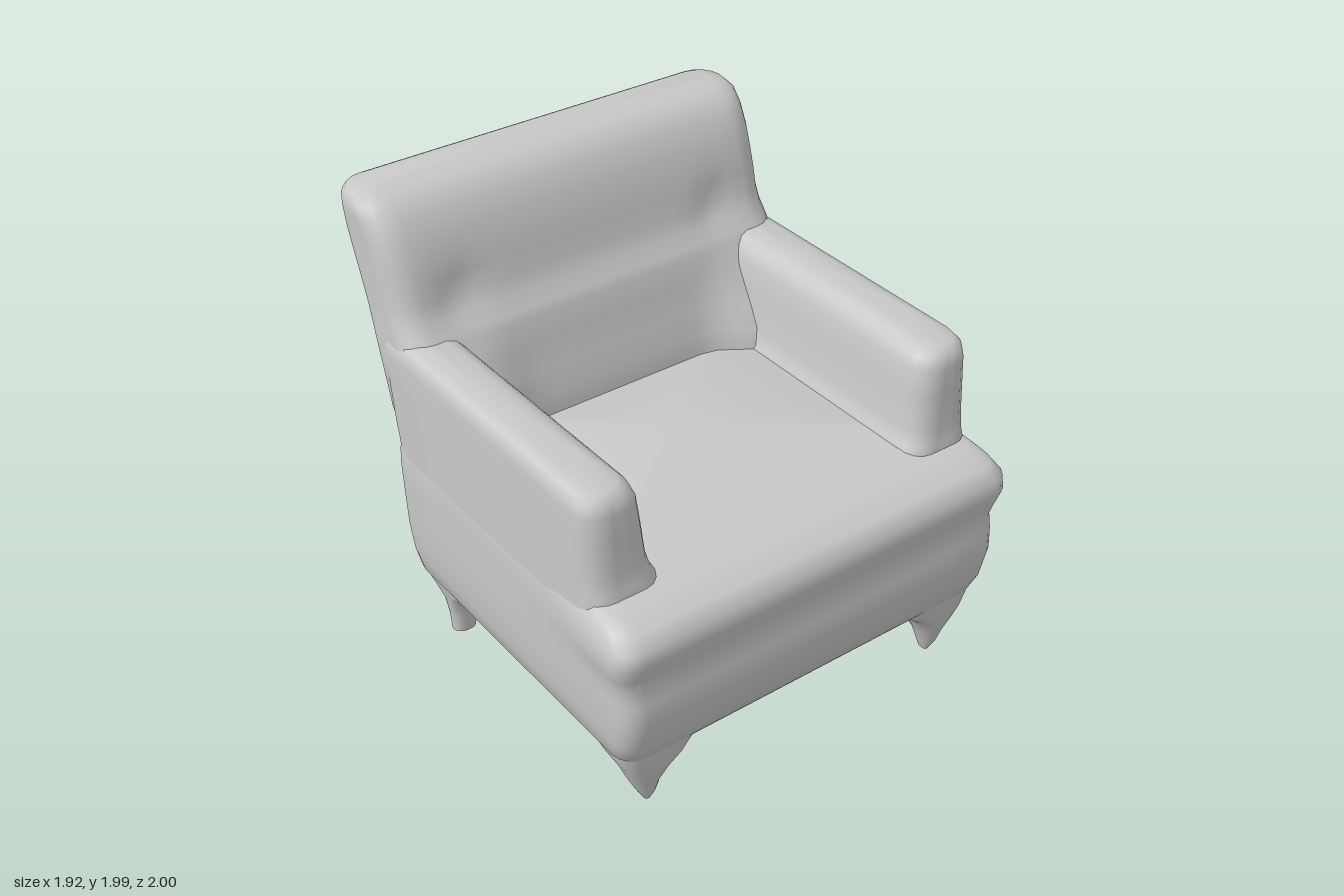
import * as THREE from 'three';
import { toCreasedNormals } from 'three/addons/utils/BufferGeometryUtils.js';

const { smoothstep } = THREE.MathUtils;

// Outline of a rounded rectangle, with the straight sides divided
function roundedRect(x0, x1, z0, z1, radius, divisions) {
  const r = Math.min(radius, (x1 - x0) * 0.49, (z1 - z0) * 0.49);
  const corners = [[x1 - r, z1 - r], [x0 + r, z1 - r], [x0 + r, z0 + r], [x1 - r, z0 + r]];
  const points = [];
  corners.forEach(([cx, cz], c) => {
    for (let k = 0; k <= 4; k++) {
      const a = (c + k / 4) * Math.PI / 2;
      points.push([cx + r * Math.cos(a), cz + r * Math.sin(a)]);
    }
    const last = points[points.length - 1];
    const next = corners[(c + 1) % 4];
    const a = (c + 1) * Math.PI / 2;
    const end = [next[0] + r * Math.cos(a), next[1] + r * Math.sin(a)];
    for (let k = 1; k < divisions; k++) {
      const t = k / divisions;
      points.push([last[0] + (end[0] - last[0]) * t, last[1] + (end[1] - last[1]) * t]);
    }
  });
  return points;
}

// Upright loft through rows of [y, x0, x1, z0, z1]; deform may move each point
function loft(rows, radius, divisions, deform = () => {}) {
  const position = [], index = [], p = new THREE.Vector3();
  let n = 0;
  for (const [y, x0, x1, z0, z1] of rows) {
    const ring = roundedRect(x0, x1, z0, z1, radius, divisions);
    n = ring.length;
    for (const [x, z] of ring) {
      p.set(x, y, z);
      deform(p);
      position.push(p.x, p.y, p.z);
    }
  }
  const capCentre = ([y, x0, x1, z0, z1]) => {
    position.push((x0 + x1) / 2, y, (z0 + z1) / 2);
    return position.length / 3 - 1;
  };
  const top = (rows.length - 1) * n;
  const low = capCentre(rows[0]), high = capCentre(rows[rows.length - 1]);
  for (let i = 0; i < n; i++) {
    const k = (i + 1) % n;
    for (let j = 0; j < rows.length - 1; j++) {
      const a = j * n + i, b = j * n + k;
      index.push(a, a + n, b, b, a + n, b + n);
    }
    index.push(low, i, k, high, top + k, top + i);
  }
  const g = new THREE.BufferGeometry();
  g.setAttribute('position', new THREE.Float32BufferAttribute(position, 3));
  g.setIndex(index);
  return toCreasedNormals(g, 1.0);
}

// Rows of [y, half width, back z, front z] centred on x = 0
const centred = rows => rows.map(([y, w, z0, z1]) => [y, -w, w, z0, z1]);
const mirrored = rows => rows.map(([y, x0, x1, z0, z1]) => [y, -x1, -x0, z0, z1]);

export function createModel() {
  const chair = new THREE.Group();
  chair.name = 'armchair';
  const fabric = new THREE.MeshStandardMaterial({ color: 0xc8c8c8 });
  fabric.name = 'grey fabric';
  const add = (name, geometry) => {
    const mesh = new THREE.Mesh(geometry, fabric);
    mesh.name = name;
    chair.add(mesh);
  };

  // Base and seat; the cushion swells sideways in front of the arms
  const body = centred([
    [0.26, 0.83, -0.57, 0.84], [0.28, 0.865, -0.605, 0.885], [0.33, 0.9, -0.625, 0.925],
    [0.42, 0.92, -0.635, 0.962], [0.55, 0.93, -0.65, 0.985], [0.65, 0.93, -0.658, 0.98],
    [0.72, 0.93, -0.664, 0.963], [0.78, 0.93, -0.668, 0.978], [0.85, 0.93, -0.672, 0.997],
    [0.92, 0.925, -0.675, 0.995], [0.965, 0.915, -0.675, 0.94], [0.995, 0.9, -0.67, 0.84],
    [1.015, 0.85, -0.65, 0.7],
  ]);
  add('seatBody', loft(body, 0.09, 10, p => {
    const swell = Math.exp(-(((p.y - 0.87) / 0.1) ** 2));
    p.x *= 1 + 0.035 * swell * smoothstep(p.z, 0.45, 0.85);
  }));

  // Leaning backrest, wrapping forward at the arms, with two shallow tufts
  const back = centred([
    [0.55, 0.91, -0.645, -0.34], [0.7, 0.92, -0.668, -0.34], [0.85, 0.92, -0.69, -0.335],
    [1.0, 0.92, -0.715, -0.33], [1.1, 0.92, -0.74, -0.355],
    [1.2, 0.92, -0.768, -0.385], [1.32, 0.92, -0.805, -0.43], [1.42, 0.918, -0.838, -0.45],
    [1.46, 0.916, -0.853, -0.475], [1.51, 0.914, -0.872, -0.515], [1.58, 0.913, -0.9, -0.545],
    [1.66, 0.914, -0.93, -0.565], [1.74, 0.915, -0.96, -0.59], [1.82, 0.917, -0.985, -0.62],
    [1.9, 0.92, -0.998, -0.665], [1.955, 0.92, -0.998, -0.715], [1.98, 0.9, -0.985, -0.77],
    [1.992, 0.84, -0.96, -0.83],
  ]);
  add('backrest', loft(back, 0.12, 20, p => {
    if (p.z < -0.65) return;
    const x = Math.abs(p.x);
    const d2 = (x - 0.63) ** 2 + (p.y - 1.57) ** 2;
    p.z -= 0.03 * Math.exp(-d2 / 0.008);
    p.z += 0.13 * smoothstep(x, 0.42, 0.68) * (1 - smoothstep(p.y, 1.0, 1.45));
  }));

  // Arms, spreading slightly where they meet the seat
  const arm = [
    [0.6, 0.62, 0.926, -0.62, 0.76], [0.99, 0.59, 0.926, -0.68, 0.79],
    [1.03, 0.62, 0.926, -0.69, 0.775], [1.1, 0.638, 0.926, -0.7, 0.764],
    [1.25, 0.652, 0.926, -0.72, 0.754], [1.36, 0.665, 0.926, -0.74, 0.747],
    [1.41, 0.685, 0.922, -0.74, 0.735], [1.435, 0.71, 0.905, -0.74, 0.7],
    [1.447, 0.75, 0.87, -0.73, 0.5],
  ];
  // Pointed front legs
  const frontLeg = [
    [0.0, 0.72, 0.748, 0.785, 0.835], [0.05, 0.7, 0.775, 0.77, 0.86],
    [0.12, 0.675, 0.81, 0.745, 0.88], [0.2, 0.64, 0.84, 0.715, 0.905],
    [0.25, 0.59, 0.862, 0.66, 0.915], [0.32, 0.54, 0.885, 0.6, 0.922],
    [0.42, 0.52, 0.9, 0.57, 0.94],
  ];
  // Blunt back legs
  const backLeg = [
    [0.015, 0.725, 0.83, -0.505, -0.42], [0.1, 0.71, 0.835, -0.51, -0.415],
    [0.18, 0.69, 0.845, -0.525, -0.395], [0.23, 0.65, 0.858, -0.56, -0.355],
    [0.28, 0.59, 0.872, -0.595, -0.29], [0.36, 0.56, 0.885, -0.605, -0.26],
  ];
  for (const [side, place] of [['left', rows => rows], ['right', mirrored]]) {
    add(side + 'Arm', loft(place(arm), 0.1, 6));
    add(side + 'FrontLeg', loft(place(frontLeg), 0.07, 2));
    add(side + 'BackLeg', loft(place(backLeg), 0.05, 2));
  }
  return chair;
}
